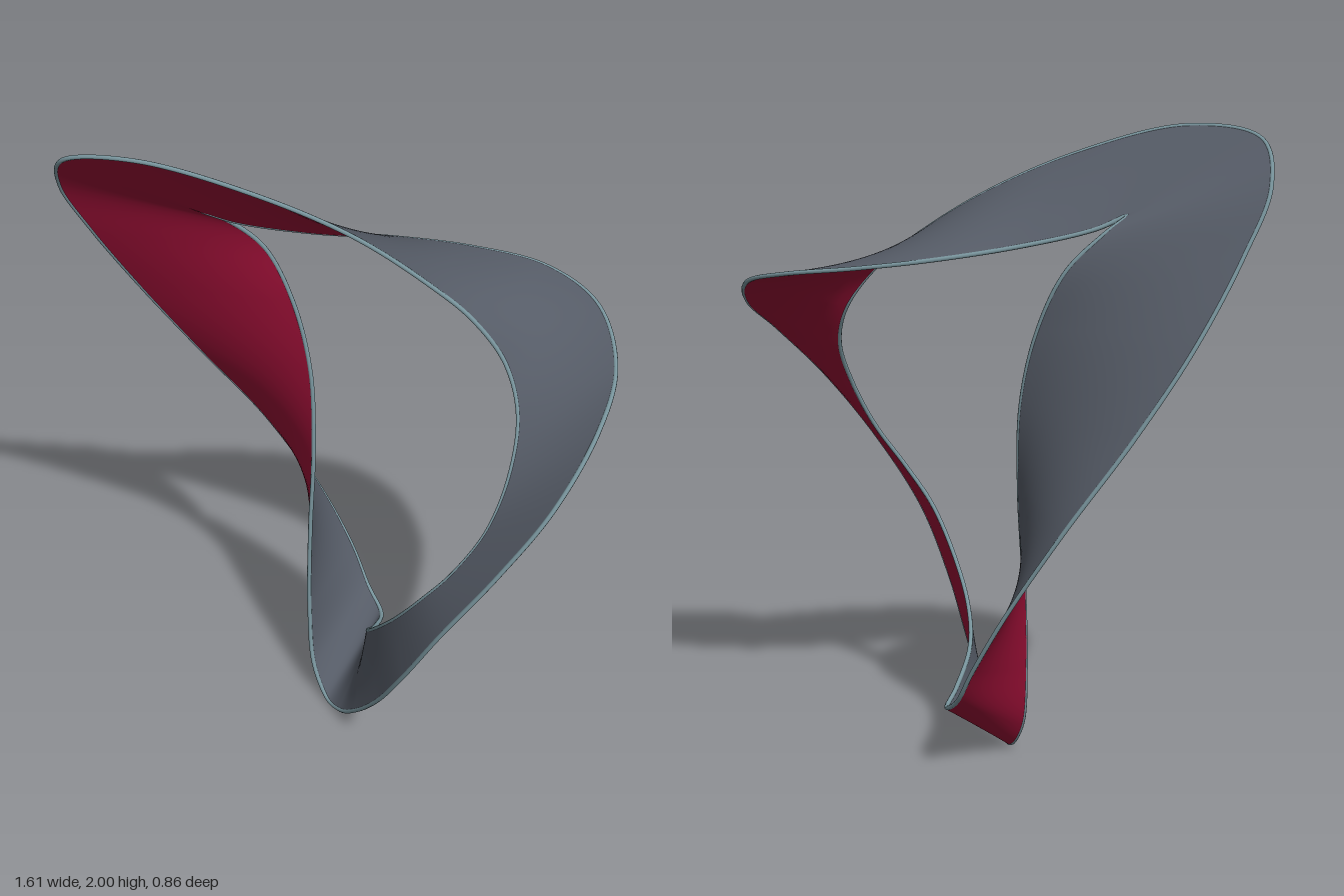
import * as THREE from 'three';

// Paired stations round the loop: one rim point and its opposite rim point.
const RIM_A = [
  [-0.72, 1.96, 0.42], [-0.5, 1.99, 0.36], [-0.2, 1.9, 0.21], [0.05, 1.77, 0.07], [0.25, 1.63, -0.02],
  [0.37, 1.53, -0.065], [0.47, 1.4, -0.09], [0.54, 1.27, -0.05], [0.57, 1.12, 0.04], [0.55, 0.96, 0.13],
  [0.48, 0.82, 0.2], [0.39, 0.7, 0.225], [0.28, 0.56, 0.2], [0.16, 0.42, 0.13], [0.08, 0.32, 0.04],
  [0.03, 0.23, -0.09], [-0.01, 0.2, -0.19], [-0.09, 0.25, -0.235], [-0.17, 0.37, -0.26], [-0.29, 0.57, -0.25],
  [-0.45, 0.84, -0.18], [-0.6, 1.12, -0.04], [-0.71, 1.38, 0.1], [-0.775, 1.64, 0.25], [-0.795, 1.83, 0.355],
];
const RIM_B = [
  [-0.445, 1.74, 0.13], [-0.37, 1.7, 0.07], [-0.2, 1.65, -0.07], [0, 1.61, -0.24], [0.2, 1.58, -0.36],
  [0.42, 1.55, -0.425], [0.62, 1.5, -0.38], [0.755, 1.4, -0.24], [0.795, 1.29, -0.07], [0.76, 1.11, 0.12],
  [0.65, 0.9, 0.24], [0.5, 0.66, 0.305], [0.37, 0.44, 0.295], [0.24, 0.24, 0.24], [0.12, 0.1, 0.18],
  [0.03, 0.025, 0.13], [-0.05, 0.007, 0.085], [-0.12, 0.1, 0.055], [-0.155, 0.3, 0.025], [-0.165, 0.6, 0],
  [-0.165, 0.9, -0.025], [-0.19, 1.17, -0.05], [-0.25, 1.4, -0.05], [-0.33, 1.58, -0.02], [-0.41, 1.69, 0.06],
];

const STEPS = 400;
const ACROSS = 10;
const HALF_THICKNESS = 0.005;
const RIM_RADIUS = 0.007;

const closedCurve = (points) =>
  new THREE.CatmullRomCurve3(points.map((p) => new THREE.Vector3(...p)), true, 'centripetal');

// One face of the twisted band, offset to its side (+1 or -1) of the middle surface.
function bandFace(curveA, curveB, side) {
  const at = (t, s) => {
    const u = ((t % 1) + 1) % 1;
    return curveA.getPoint(u).lerp(curveB.getPoint(u), s);
  };
  const positions = [];
  const index = [];
  const row = ACROSS + 1;
  for (let i = 0; i < STEPS; i++) {
    const t = i / STEPS;
    const across = at(t, 1).sub(at(t, 0));
    for (let j = 0; j <= ACROSS; j++) {
      const s = j / ACROSS;
      const along = at(t + 0.001, s).sub(at(t - 0.001, s));
      const normal = across.clone().cross(along).normalize();
      const p = at(t, s).addScaledVector(normal, side * HALF_THICKNESS);
      positions.push(p.x, p.y, p.z);
      if (j === ACROSS) continue;
      const a = i * row + j;
      const b = a + 1;
      const c = ((i + 1) % STEPS) * row + j;
      const d = c + 1;
      if (side > 0) index.push(a, b, c, b, d, c);
      else index.push(a, c, b, b, c, d);
    }
  }
  const geometry = new THREE.BufferGeometry();
  geometry.setAttribute('position', new THREE.Float32BufferAttribute(positions, 3));
  geometry.setIndex(index);
  geometry.computeVertexNormals();
  return geometry;
}

export function createModel() {
  const material = (name, color) => {
    const m = new THREE.MeshStandardMaterial({ color });
    m.name = name;
    return m;
  };
  const crimson = material('crimson', 0x960f34);
  const slate = material('slate', 0x555b66);
  const paleTeal = material('paleTeal', 0x78949c);

  const model = new THREE.Group();
  model.name = 'twistedBand';
  const add = (name, geometry, mat) => {
    const mesh = new THREE.Mesh(geometry, mat);
    mesh.name = name;
    model.add(mesh);
  };

  const curveA = closedCurve(RIM_A);
  const curveB = closedCurve(RIM_B);

  // Two faces of the band
  add('crimsonFace', bandFace(curveA, curveB, 1), crimson);
  add('slateFace', bandFace(curveA, curveB, -1), slate);

  // Rounded trim along both rims
  add('firstRim', new THREE.TubeGeometry(curveA, STEPS, RIM_RADIUS, 8, true), paleTeal);
  add('secondRim', new THREE.TubeGeometry(curveB, STEPS, RIM_RADIUS, 8, true), paleTeal);

  return model;
}
